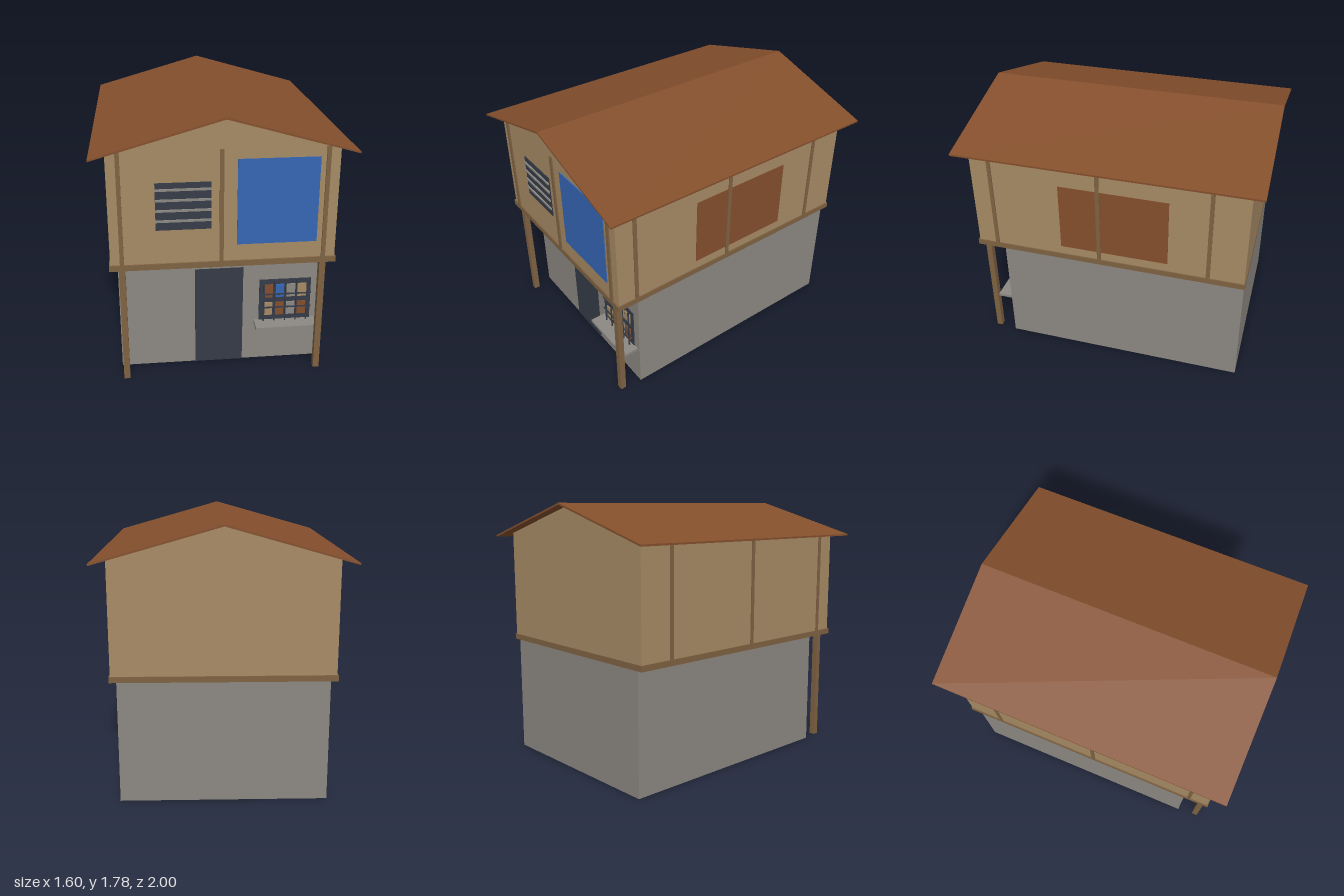
import * as THREE from 'three';

export function createModel() {
  const house = new THREE.Group();
  house.name = 'house';

  const mat = (name, color) => {
    const m = new THREE.MeshStandardMaterial({ color });
    m.name = name;
    return m;
  };
  const concrete = mat('concrete grey', 0x8c8882);
  const board = mat('board tan', 0xa68a64);
  const timber = mat('timber brown', 0x7f6242);
  const rust = mat('rust brown', 0x844f2c);
  const dark = mat('dark slate', 0x353b48);
  const blue = mat('tarp blue', 0x3566b5);

  // Box given by its limits on each axis
  const box = (name, material, [x0, x1], [y0, y1], [z0, z1], parent = house) => {
    const mesh = new THREE.Mesh(new THREE.BoxGeometry(x1 - x0, y1 - y0, z1 - z0), material);
    mesh.position.set((x0 + x1) / 2, (y0 + y1) / 2, (z0 + z1) / 2);
    mesh.name = name;
    parent.add(mesh);
    return mesh;
  };

  // Outline in x and y, extruded along z
  const prism = (name, material, points, z0, z1) => {
    const shape = new THREE.Shape(points.map(([x, y]) => new THREE.Vector2(x, y)));
    const geometry = new THREE.ExtrudeGeometry(shape, { depth: z1 - z0, bevelEnabled: false });
    const mesh = new THREE.Mesh(geometry, material);
    mesh.position.z = z0;
    mesh.name = name;
    house.add(mesh);
  };

  // Main volumes
  box('groundFloor', concrete, [-0.667, 0.667], [0, 0.802], [-0.918, 0.755]);
  box('floorBeam', timber, [-0.713, 0.713], [0.802, 0.84], [-0.927, 0.93]);
  prism('upperFloor', board,
    [[-0.705, 0.84], [0.705, 0.84], [0.705, 1.568], [0, 1.768], [-0.705, 1.568]], -0.92, 0.92);
  prism('roof', rust,
    [[-0.8, 1.541], [0, 1.768], [0.8, 1.541], [0.8, 1.553], [0, 1.78], [-0.8, 1.553]], -1, 1);

  // Porch posts
  for (const s of [-1, 1]) {
    const x = s * 0.635;
    box('porchPost', timber, [x - 0.02, x + 0.02], [0, 0.802], [0.87, 0.91]);
  }

  // Wall battens on the front and both sides
  for (const x of [-0.633, -0.016, 0.63]) {
    box('frontBatten', timber, [x - 0.013, x + 0.013], [0.84, 1.57], [0.915, 0.93]);
  }
  for (const s of [-1, 1]) {
    for (const z of [0.785, 0.052, -0.683]) {
      const x = s * 0.704;
      box('sideBatten', timber, [x - 0.008, x + 0.008], [0.84, 1.568], [z - 0.013, z + 0.013]);
    }
  }

  // Patches on the upper walls
  box('bluePanel', blue, [0.08, 0.583], [0.95, 1.505], [0.918, 0.926]);
  box('sidePanel', rust, [0.7, 0.708], [0.9, 1.37], [-0.415, 0.317]);

  // Louvred upper window
  box('upperWindow', dark, [-0.42, -0.08], [1.065, 1.37], [0.918, 0.926]);
  for (const y of [1.126, 1.193, 1.26, 1.327]) {
    box('louvreSlat', concrete, [-0.42, -0.08], [y - 0.007, y + 0.007], [0.922, 0.935]);
  }

  // Door
  box('door', dark, [-0.17, 0.15], [0, 0.702], [0.752, 0.76]);

  // Shop window with goods, bars and counter
  const shop = new THREE.Group();
  shop.name = 'shopWindow';
  house.add(shop);
  box('shopOpening', dark, [0.26, 0.608], [0.302, 0.603], [0.753, 0.761], shop);
  const goods = [[board, rust, concrete, rust], [rust, blue, concrete, board]];
  goods.forEach((row, r) => row.forEach((material, c) => {
    const x = 0.32 + c * 0.0757;
    const y = 0.387 + r * 0.134;
    box('goods', material, [x - 0.03, x + 0.03], [y - 0.047, y + 0.047], [0.757, 0.77], shop);
  }));
  for (let i = 0; i < 5; i++) {
    const x = 0.29 + i * 0.0725;
    box('verticalBar', dark, [x - 0.004, x + 0.004], [0.302, 0.603], [0.776, 0.784], shop);
  }
  for (const y of [0.403, 0.502]) {
    box('horizontalBar', dark, [0.26, 0.608], [y - 0.004, y + 0.004], [0.776, 0.784], shop);
  }
  box('counter', concrete, [0.226, 0.642], [0.281, 0.302], [0.75, 0.868], shop);

  return house;
}
